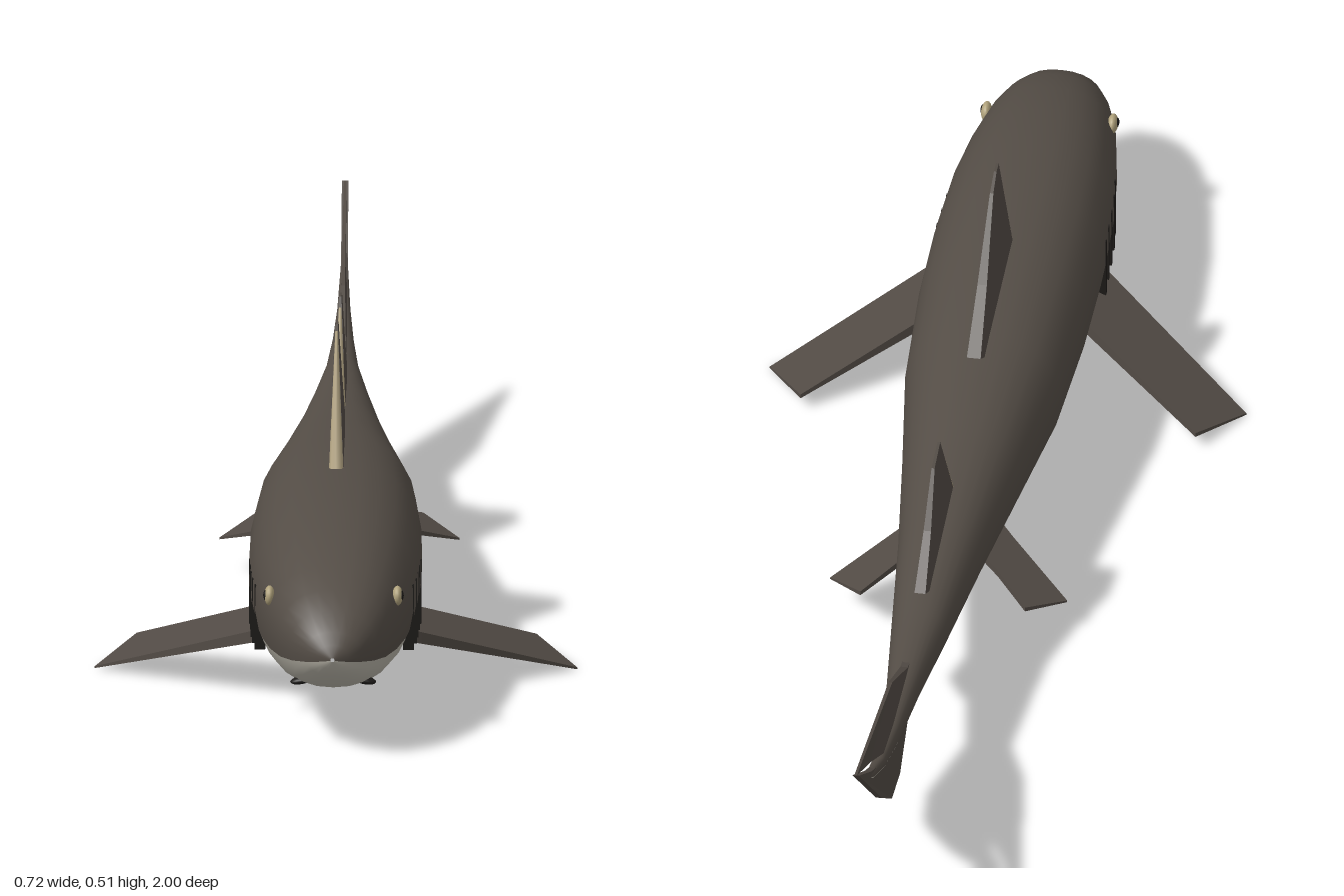
import * as THREE from 'three';

const paint = (name, color, extra = {}) => {
  const m = new THREE.MeshStandardMaterial({ color, ...extra });
  m.name = name;
  return m;
};

// Body sections from tail to nose: z, bottom, top, half width
const SECTIONS = [
  [-0.93, 0.312, 0.318, 0.002], [-0.86, 0.262, 0.278, 0.006], [-0.78, 0.22, 0.243, 0.01],
  [-0.68, 0.188, 0.228, 0.016], [-0.55, 0.166, 0.225, 0.025], [-0.4, 0.145, 0.23, 0.042],
  [-0.2, 0.115, 0.25, 0.064], [0, 0.088, 0.272, 0.09], [0.2, 0.067, 0.295, 0.118],
  [0.4, 0.058, 0.308, 0.129], [0.55, 0.056, 0.308, 0.13], [0.67, 0.06, 0.302, 0.125],
  [0.77, 0.068, 0.288, 0.114], [0.85, 0.081, 0.27, 0.1], [0.91, 0.096, 0.248, 0.083],
  [0.95, 0.113, 0.226, 0.065], [0.98, 0.133, 0.2, 0.042], [0.993, 0.146, 0.183, 0.024],
  [1, 0.159, 0.165, 0.003],
];

function halfWidth(z) {
  const i = Math.max(1, SECTIONS.findIndex((s) => s[0] >= z));
  const [a, b] = [SECTIONS[i - 1], SECTIONS[i]];
  return THREE.MathUtils.lerp(a[3], b[3], (z - a[0]) / (b[0] - a[0]));
}

// Skin of the body between two angles around its axis
function bodyShell(from, to, steps) {
  const pos = [], index = [];
  const bulge = (v) => Math.sign(v) * Math.abs(v) ** 0.88;
  SECTIONS.forEach(([z, bottom, top, w], i) => {
    for (let j = 0; j <= steps; j++) {
      const a = THREE.MathUtils.degToRad(from + ((to - from) * j) / steps);
      pos.push(w * bulge(Math.cos(a)), (top + bottom) / 2 + ((top - bottom) / 2) * bulge(Math.sin(a)), z);
      if (i && j) {
        const d = i * (steps + 1) + j, c = d - 1, b = d - steps - 1, e = b - 1;
        index.push(e, b, c, b, d, c);
      }
    }
  });
  const g = new THREE.BufferGeometry();
  g.setAttribute('position', new THREE.Float32BufferAttribute(pos, 3));
  g.setIndex(index);
  g.computeVertexNormals();
  return g;
}

// Plate from an outline, with each vertex then placed by a rule
function plate(points, place) {
  const shape = new THREE.Shape(points.map(([u, v]) => new THREE.Vector2(u, v)));
  const g = new THREE.ExtrudeGeometry(shape, { depth: 1, bevelEnabled: false });
  const p = g.attributes.position;
  for (let i = 0; i < p.count; i++) p.setXYZ(i, ...place(p.getX(i), p.getY(i), p.getZ(i) - 0.5));
  g.computeVertexNormals();
  return g;
}

// Upright fin on the midline: outline in (z, y), thinning from root height to tip height
function midFin(points, rootY, tipY, thick) {
  return plate(points.map(([z, y]) => [-z, y]), (u, v, w) => {
    const t = THREE.MathUtils.clamp((v - rootY) / (tipY - rootY), 0, 1);
    return [w * THREE.MathUtils.lerp(thick, 0.004, t), v, -u];
  });
}

// Left side fin: outline in (x, z), sloping down from (x0, y0) to (x1, y1)
function sideFin(points, x0, y0, x1, y1, thick) {
  return plate(points.map(([x, z]) => [x, -z]), (u, v, w) => {
    const t = (u - x0) / (x1 - x0);
    return [u, y0 + (y1 - y0) * t + w * THREE.MathUtils.lerp(thick, 0.003, t), -v];
  });
}

// Tapered spine lying on a fin's leading edge
function spine(a, b, radius) {
  const from = new THREE.Vector3(0, a[1], a[0]), to = new THREE.Vector3(0, b[1], b[0]);
  const dir = to.clone().sub(from);
  const g = new THREE.CylinderGeometry(0.002, radius, dir.length(), 8);
  g.applyQuaternion(new THREE.Quaternion().setFromUnitVectors(new THREE.Vector3(0, 1, 0), dir.normalize()));
  return g.translate(0, (a[1] + b[1]) / 2, (a[0] + b[0]) / 2);
}

export function createModel() {
  const model = new THREE.Group();
  model.name = 'shark';
  const back = paint('back grey', 0x544d46);
  const belly = paint('belly pale', 0xb8b4a8);
  const fin = paint('fin grey', 0x524b45);
  const horn = paint('spine tan', 0xb5a684);
  const dark = paint('dark slit', 0x1c1a18);
  const iris = paint('eye tan', 0xb0a27c);

  const add = (name, geometry, material, parent = model) => {
    const mesh = new THREE.Mesh(geometry, material);
    mesh.name = name;
    parent.add(mesh);
    return mesh;
  };

  // Body
  add('upperBody', bodyShell(-19, 199, 16), back);
  add('belly', bodyShell(199, 341, 10), belly);

  // Dorsal fins with spines
  add('firstDorsalFin', midFin([[0.42, 0.29], [0.42, 0.312], [0.345, 0.51], [0.325, 0.51], [0.29, 0.495],
    [0.2, 0.39], [0.12, 0.312], [0.16, 0.285]], 0.3, 0.51, 0.022), fin);
  add('firstDorsalSpine', spine([0.425, 0.3], [0.35, 0.5], 0.011), horn);
  add('secondDorsalFin', midFin([[-0.12, 0.24], [-0.125, 0.255], [-0.21, 0.405], [-0.265, 0.397],
    [-0.32, 0.32], [-0.39, 0.255], [-0.34, 0.225]], 0.24, 0.405, 0.018), fin);
  add('secondDorsalSpine', spine([-0.122, 0.25], [-0.2, 0.39], 0.009), horn);

  // Anal fin
  add('analFin', midFin([[-0.19, 0.13], [-0.21, 0.115], [-0.29, 0.045], [-0.37, 0.1], [-0.32, 0.145]],
    0.14, 0.045, 0.014), fin);

  // Tail lobes
  add('upperTailLobe', midFin([[-0.48, 0.215], [-0.54, 0.23], [-0.67, 0.3], [-1, 0.375], [-0.88, 0.308],
    [-0.75, 0.23]], 0.22, 0.32, 0.012), fin);
  add('lowerTailLobe', midFin([[-0.47, 0.165], [-0.59, 0.067], [-0.67, 0.08], [-0.78, 0.165], [-1, 0.375],
    [-0.88, 0.292], [-0.75, 0.215], [-0.6, 0.19]], 0.18, 0.07, 0.01), fin);

  // Paired parts, built on the left and mirrored to the right
  for (const side of [1, -1]) {
    const half = new THREE.Group();
    half.name = side > 0 ? 'leftSide' : 'rightSide';
    half.scale.x = side;
    model.add(half);

    add('pectoralFin', sideFin([[0.08, 0.655], [0.13, 0.62], [0.362, 0.445], [0.3, 0.35], [0.127, 0.475],
      [0.08, 0.51]], 0.13, 0.096, 0.362, 0.003, 0.018), fin, half);
    add('pelvicFin', sideFin([[0.05, 0.005], [0.085, -0.03], [0.18, -0.117], [0.125, -0.175], [0.075, -0.12],
      [0.04, -0.09]], 0.085, 0.092, 0.18, 0.054, 0.01), fin, half);

    // Gill slits
    for (let i = 0; i < 5; i++) {
      const z = 0.572 + i * 0.037;
      add('gillSlit', new THREE.BoxGeometry(0.016, 0.1, 0.008), dark, half)
        .position.set(halfWidth(z) - 0.008, 0.155, z);
    }

    // Eye
    const eye = add('eye', new THREE.SphereGeometry(1, 16, 12), iris, half);
    eye.scale.set(0.008, 0.015, 0.016);
    eye.position.set(0.096, 0.22, 0.84);
    const pupil = add('pupil', new THREE.SphereGeometry(1, 12, 8), dark, half);
    pupil.scale.set(0.004, 0.008, 0.008);
    pupil.position.set(0.1015, 0.221, 0.842);

    // Nostril
    const nostril = add('nostril', new THREE.SphereGeometry(1, 12, 8), dark, half);
    nostril.scale.set(0.018, 0.006, 0.012);
    nostril.position.set(0.047, 0.102, 0.888);
    nostril.rotation.z = -0.2;
  }
  return model;
}
